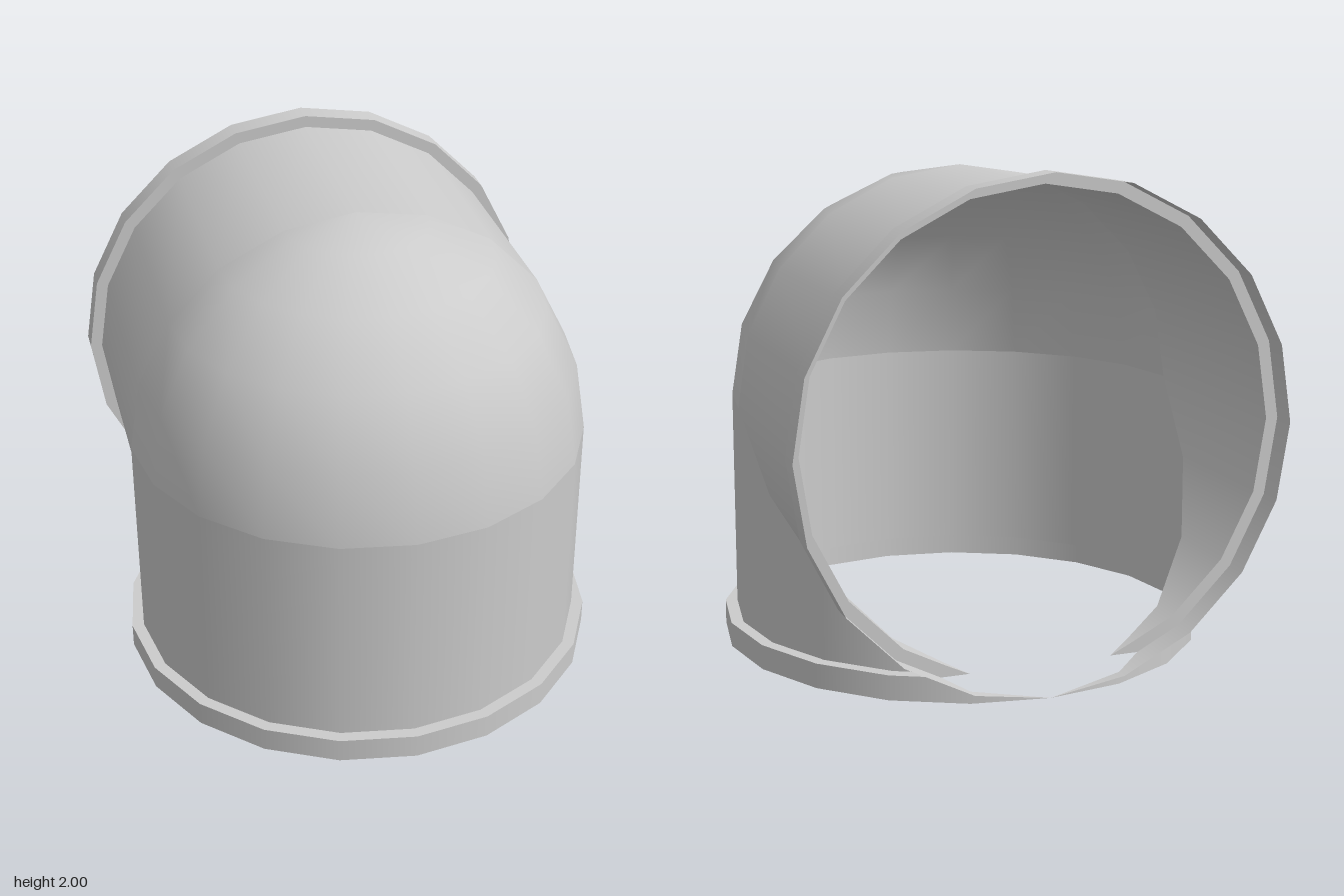
import * as THREE from 'three';
import { mergeVertices } from 'three/addons/utils/BufferGeometryUtils.js';

const SIDES = 20, WALL = 0.95, RIM = 1, LIP = 0.1;
const material = new THREE.MeshStandardMaterial({ color: 0xcccccc, side: THREE.DoubleSide });

// Unit polygon, with an extra point on the two edges where the lip meets the mitre
function outline() {
  const corner = (i) => new THREE.Vector2(Math.cos(i * Math.PI * 2 / SIDES), Math.sin(i * Math.PI * 2 / SIDES));
  const points = [];
  for (let i = 0; i < SIDES; i++) {
    const a = corner(i), b = corner(i + 1);
    points.push(a);
    const limit = -(1 - LIP);
    if ((a.y - limit) * (b.y - limit) < 0) points.push(a.clone().lerp(b, (limit - a.y) / (b.y - a.y)));
  }
  return points;
}

// Closed strip between two edges, each a function of an outline point
function band(name, lower, upper, normalAt) {
  const positions = [], normals = [], index = [], points = outline();
  points.forEach((p, i) => {
    positions.push(...lower(p), ...upper(p));
    const n = normalAt(p);
    normals.push(...n, ...n);
    const a = i * 2, b = ((i + 1) % points.length) * 2;
    index.push(a, a + 1, b, b, a + 1, b + 1);
  });
  const geometry = new THREE.BufferGeometry();
  geometry.setAttribute('position', new THREE.Float32BufferAttribute(positions, 3));
  geometry.setAttribute('normal', new THREE.Float32BufferAttribute(normals, 3));
  geometry.setIndex(index);
  const mesh = new THREE.Mesh(geometry, material);
  mesh.name = name;
  return mesh;
}

// One pipe arm, cut at 45 degrees on its -z side, with an open flange at its mouth
function createArm(name) {
  const arm = new THREE.Group();
  arm.name = name;
  const radial = (p) => p.clone().normalize();
  const outward = (p) => { const n = radial(p); return [n.x, 0, n.y]; };
  const ringPoint = (r) => (p) => [p.x * r, LIP, Math.max(p.y * r, LIP - 1)];
  arm.add(
    band('pipeWall',
      (p) => [p.x * WALL, LIP, Math.max(p.y * WALL, LIP - 1)],
      (p) => {
        const z = Math.max(p.y * WALL, LIP - 1);
        return [p.x * WALL, Math.min(1, 1 + z), z];
      }, outward),
    band('flangeRim',
      (p) => [p.x * RIM, 0, p.y * RIM],
      (p) => [p.x * RIM, Math.min(LIP, 1 + p.y * RIM), p.y * RIM], outward),
    band('flangeShoulder', ringPoint(RIM), ringPoint(WALL), () => [0, 1, 0])
  );
  return arm;
}

export function createModel() {
  const model = new THREE.Group();
  model.name = 'pipeElbow';

  model.add(createArm('uprightArm'));

  // Second arm: half turn about the diagonal, so it opens to the back
  const rearArm = createArm('rearArm');
  rearArm.quaternion.setFromAxisAngle(new THREE.Vector3(0, 1, 1).normalize(), Math.PI);
  rearArm.position.set(0, 1, -1);
  model.add(rearArm);

  // Quarter-sphere closing the outside of the bend
  let dome = new THREE.SphereGeometry(WALL, SIDES / 2, SIDES / 4, 0, Math.PI, 0, Math.PI / 2);
  dome.deleteAttribute('uv');
  dome.deleteAttribute('normal');
  dome = mergeVertices(dome, 1e-4);
  dome.computeVertexNormals();
  const bend = new THREE.Mesh(dome, material);
  bend.name = 'bendDome';
  bend.position.y = 1;
  model.add(bend);

  return model;
}
